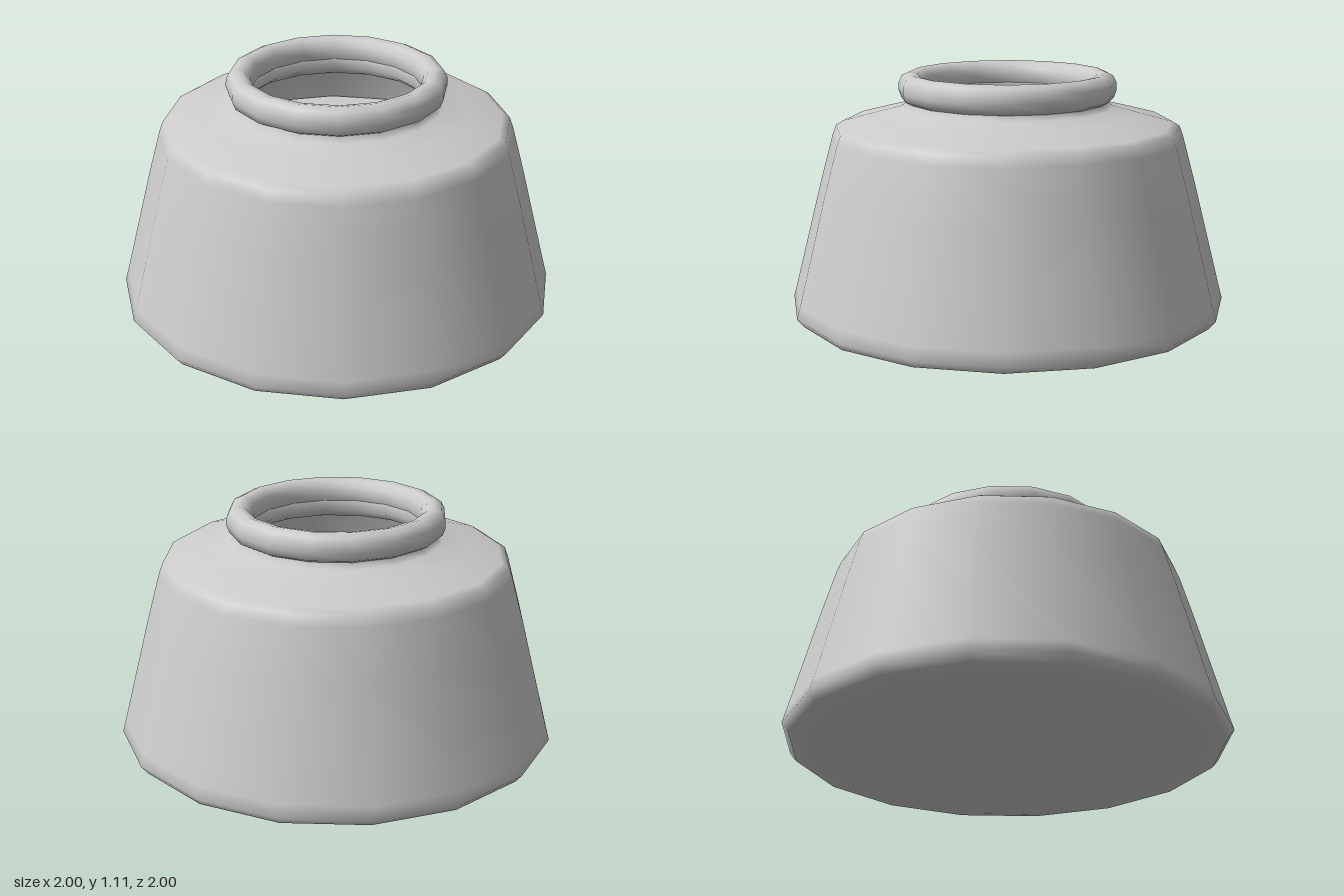
import * as THREE from 'three';

const SIDES = 16;

export function createModel() {
  const model = new THREE.Group();
  const material = new THREE.MeshStandardMaterial({ color: 0xcccccc });
  const add = (name, geometry) => {
    const mesh = new THREE.Mesh(geometry, material);
    mesh.name = name;
    model.add(mesh);
    return mesh;
  };
  const lathe = (points) =>
    new THREE.LatheGeometry(points.map(([r, y]) => new THREE.Vector2(r, y)), SIDES);

  // Flask wall: outside from the base up to the neck, then back down inside
  add('flaskBody', lathe([
    [0, 0], [0.8, 0], [0.9, 0.005], [0.97, 0.018], [1, 0.055],
    [0.985, 0.11], [0.86, 0.6], [0.8, 0.82], [0.783, 0.865], [0.75, 0.885],
    [0.6, 0.925], [0.48, 0.955], [0.452, 0.98], [0.45, 1.04],
    [0.39, 1.04], [0.385, 0.96],
    [0.43, 0.925], [0.58, 0.89], [0.73, 0.85], [0.765, 0.82], [0.825, 0.6],
    [0.95, 0.11], [0.955, 0.06], [0.9, 0.04], [0, 0.04],
  ]));

  // Rounded lip around the mouth
  add('rim', lathe([
    [0.41, 0.98], [0.455, 0.98], [0.483, 0.995], [0.495, 1.03], [0.493, 1.065],
    [0.478, 1.095], [0.445, 1.11], [0.41, 1.102], [0.388, 1.075],
    [0.383, 1.04], [0.39, 1.0], [0.41, 0.98],
  ]));

  // Contents filling the flask to about two thirds
  const contents = add('contents', new THREE.CylinderGeometry(0.79, 0.935, 0.6, SIDES));
  contents.position.y = 0.36;

  return model;
}
